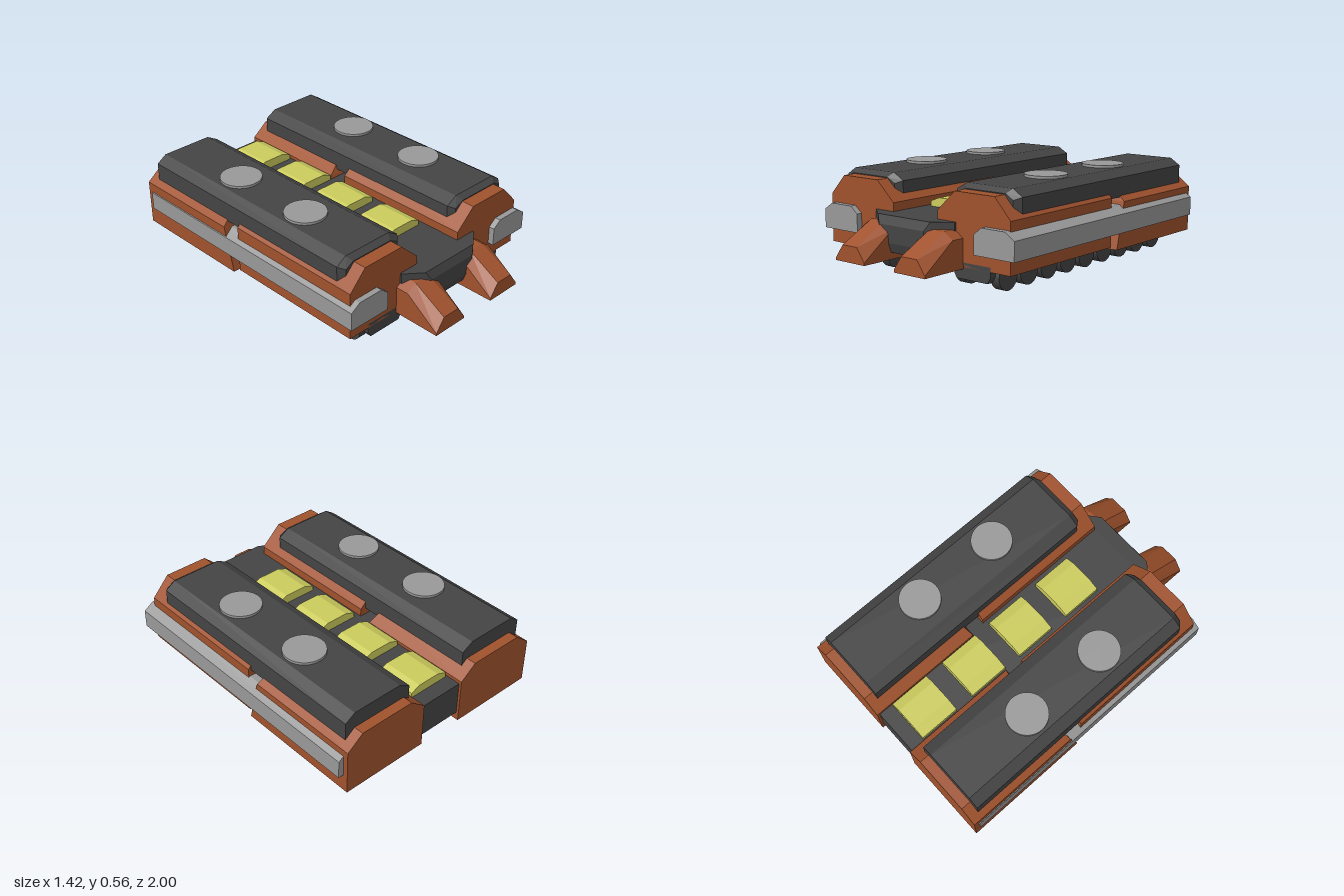
import * as THREE from 'three';

const ORANGE = 0xa0522d, BLACK = 0x444444, YELLOW = 0xcccc5e, SILVER = 0x999999;
const AXIS = -0.0135; // mirror axis of the hull

const material = (color) => new THREE.MeshStandardMaterial({ color, flatShading: true });

// Convex sections ([x, y, z] corners, counter-clockwise from the front), listed back to front.
function loft(sections) {
  const pos = [];
  const tri = (a, b, c) => pos.push(...a, ...b, ...c);
  const n = sections[0].length;
  for (let s = 0; s < sections.length - 1; s++) {
    for (let i = 0; i < n; i++) {
      const j = (i + 1) % n, A = sections[s], B = sections[s + 1];
      tri(A[i], A[j], B[j]);
      tri(A[i], B[j], B[i]);
    }
  }
  const back = sections[0], front = sections[sections.length - 1];
  for (let i = 1; i < n - 1; i++) {
    tri(back[0], back[i + 1], back[i]);
    tri(front[0], front[i], front[i + 1]);
  }
  const g = new THREE.BufferGeometry();
  g.setAttribute('position', new THREE.Float32BufferAttribute(pos, 3));
  g.computeVertexNormals();
  return g;
}

// Places a flat profile at depth z.
const at = (profile, z) => profile.map(([x, y]) => [x, y, z]);
const rect = (x0, x1, y0, y1) => [[x0, y0], [x1, y0], [x1, y1], [x0, y1]];
// Box profile with chamfered top corners.
const chamfered = (x0, x1, y0, yShoulder, y1, inL, inR = inL) => [
  [x0, y0], [x1, y0], [x1, yShoulder], [x1 - inR, y1], [x0 + inL, y1], [x0, yShoulder],
];

export function createModel() {
  const model = new THREE.Group();

  function add(name, geometry, color, parent = model) {
    const mesh = new THREE.Mesh(geometry, material(color));
    mesh.name = name;
    parent.add(mesh);
    return mesh;
  }

  // Builds a lofted part on both sides, mirrored about the given axis.
  function addPair(name, sections, color, axis = AXIS) {
    add(name + 'Right', loft(sections), color);
    const mirrored = sections.map((s) => s.map(([x, y, z]) => [2 * axis - x, y, z]).reverse());
    add(name + 'Left', loft(mirrored), color);
  }

  // Central hull with tapered nose
  add('centralHull', loft([
    at(rect(-0.31, 0.285, 0.145, 0.35), -0.985),
    at(rect(-0.31, 0.285, 0.145, 0.35), 0.72),
    at(rect(-0.21, 0.185, 0.145, 0.35), 0.8),
    at(rect(-0.18, 0.155, 0.2, 0.3), 0.82),
  ]), BLACK);

  // Yellow hatches along the spine
  const hatch = chamfered(-0.145, 0.12, 0.34, 0.38, 0.405, 0.065, 0.06);
  [0.325, -0.04, -0.4, -0.77].forEach((z, i) =>
    add('hatch' + (i + 1), loft([at(hatch, z - 0.125), at(hatch, z + 0.125)]), YELLOW));

  // Front side pods
  const frontPod = chamfered(-0.685, -0.18, 0.115, 0.4, 0.515, 0.107, 0.125);
  addPair('frontPod', [at(frontPod, -0.185), at(frontPod, 0.71)], ORANGE);

  // Rear side pods, the front face leaning back toward the top
  const rearPod = chamfered(-0.705, -0.157, 0.097, 0.37, 0.447, 0.1);
  const lean = rearPod.map(([x, y]) => [x, y, -0.215 - 0.35 * Math.max(0, y - 0.18)]);
  addPair('rearPod', [at(rearPod, -1), lean], ORANGE);

  // Dark armour slabs on the pods, with a bevelled front end
  const slab = chamfered(-0.668, -0.218, 0.39, 0.505, 0.545, 0.062, 0.07);
  const slabTip = chamfered(-0.635, -0.25, 0.42, 0.49, 0.52, 0.05, 0.06);
  addPair('armourSlab', [at(slab, -0.94), at(slab, 0.595), at(slabTip, 0.63)], BLACK);

  // Silver side rails
  const rail = chamfered(-0.71, -0.44, 0.2, 0.31, 0.35, 0.06, 0.05);
  addPair('sideRail', [at(rail, -0.97), at(rail, 0.745)], SILVER, 0);

  // Front prongs, sloping down to the tip
  const prong = chamfered(-0.335, -0.112, 0.105, 0.27, 0.31, 0.06);
  const prongTip = chamfered(-0.335, -0.112, 0.105, 0.12, 0.198, 0.056);
  addPair('frontProng', [at(prong, 0.69), at(prong, 0.79), at(prongTip, 1)], ORANGE, 0);

  // Track beds under the pods
  const bed = [[-0.53, 0.05], [-0.315, 0.05], [-0.295, 0.085], [-0.295, 0.14], [-0.55, 0.14], [-0.55, 0.085]];
  addPair('trackBed', [at(bed, -0.95), at(bed, 0.71)], BLACK);

  // Wheels in two rows per side, and round caps on the slabs
  const wheelGeo = new THREE.CylinderGeometry(0.075, 0.075, 0.058, 28).rotateZ(Math.PI / 2);
  const capGeo = new THREE.CylinderGeometry(0.122, 0.122, 0.025, 40);
  for (const side of [-1, 1]) {
    const label = side < 0 ? 'Right' : 'Left';
    const wheels = new THREE.Group();
    wheels.name = 'wheels' + label;
    model.add(wheels);
    for (const offset of [0.285, 0.533]) {
      for (let i = 0; i < 9; i++) {
        const wheel = add('wheel', wheelGeo, BLACK, wheels);
        wheel.material.flatShading = false;
        wheel.position.set(AXIS + side * offset, 0.075, 0.596 - i * 0.1745);
      }
    }
    for (const z of [0.145, -0.4]) {
      const cap = add('roundCap' + label, capGeo, SILVER);
      cap.material.flatShading = false;
      cap.position.set(AXIS + side * 0.455, 0.5475, z);
    }
  }

  return model;
}
